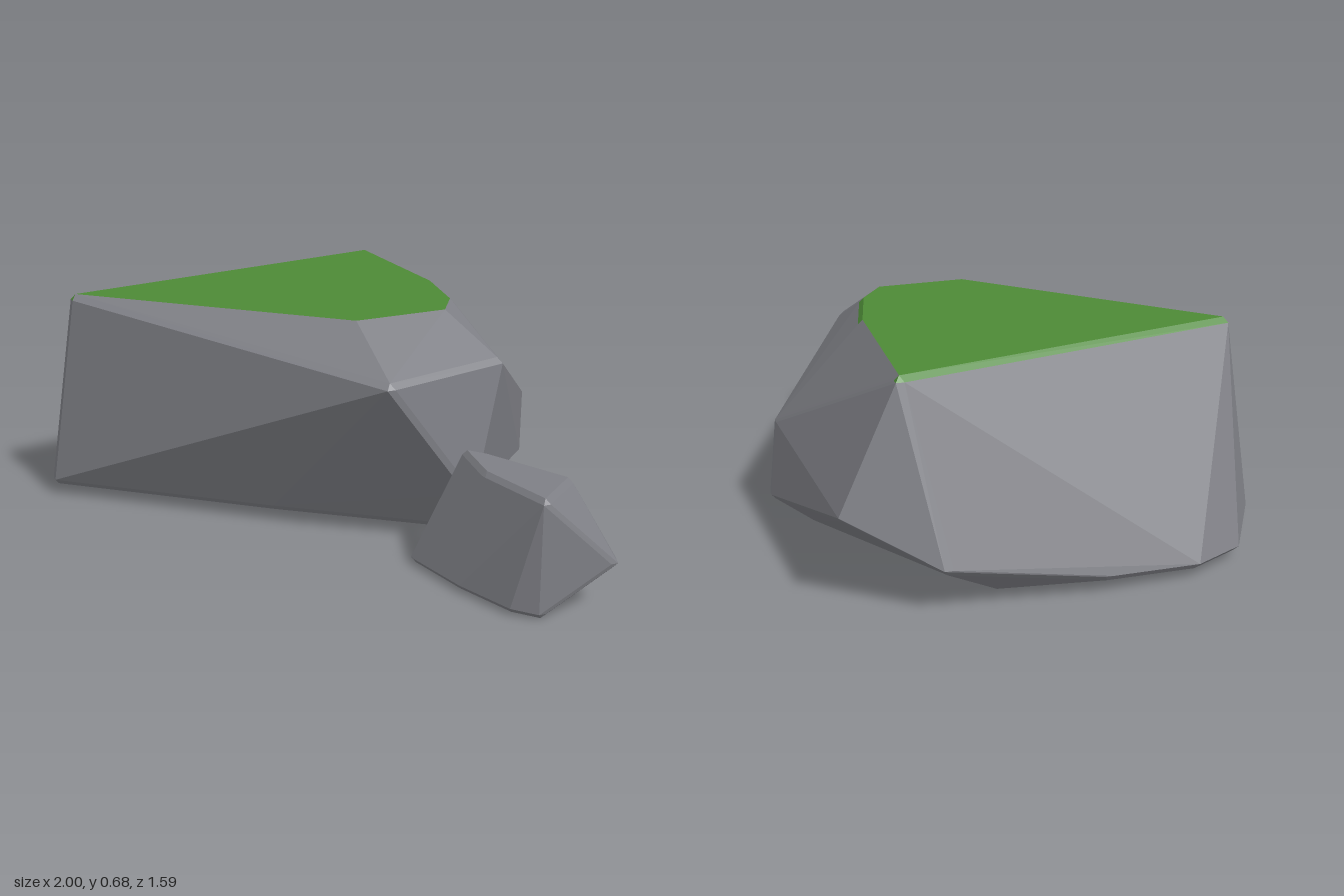
import * as THREE from 'three';
import { ConvexGeometry } from 'three/addons/geometries/ConvexGeometry.js';

const stone = new THREE.MeshStandardMaterial({ name: 'stone grey', color: 0x7e7f85 });
const moss = new THREE.MeshStandardMaterial({ name: 'moss green', color: 0x4d8a36 });

// Convex boulder with bevelled edges: every corner becomes a tiny octahedron
function boulder(corners, r) {
  const pts = corners.map((c) => new THREE.Vector3(...c));
  const box = new THREE.Box3().setFromPoints(pts).expandByScalar(-r);
  const hull = [];
  for (const p of pts) {
    p.clamp(box.min, box.max);
    for (const axis of ['x', 'y', 'z']) {
      for (const s of [-r, r]) {
        const q = p.clone();
        q[axis] += s;
        hull.push(q);
      }
    }
  }
  return new ConvexGeometry(hull);
}

// Keep only the triangles whose centre height passes the test
function pickFaces(geometry, test) {
  const a = geometry.attributes.position.array;
  const out = [];
  for (let i = 0; i < a.length; i += 9) {
    if (test((a[i + 1] + a[i + 4] + a[i + 7]) / 3)) out.push(...a.slice(i, i + 9));
  }
  const g = new THREE.BufferGeometry();
  g.setAttribute('position', new THREE.Float32BufferAttribute(out, 3));
  g.computeVertexNormals();
  return g;
}

function addMesh(group, name, geometry, material) {
  const mesh = new THREE.Mesh(geometry, material);
  mesh.name = name;
  group.add(mesh);
}

export function createModel() {
  const model = new THREE.Group();
  model.name = 'mossyRocks';

  // Large rock
  const large = boulder([
    // flat top
    [-0.2, 0.68, -0.63], [0.19, 0.68, -0.2], [0.33, 0.68, 0.03],
    [0.36, 0.68, 0.18], [0.16, 0.68, 0.41], [-0.8, 0.68, 0.39],
    // shoulders and sides
    [0.32, 0.53, 0.585], [0.555, 0.54, 0.22], [0.48, 0.31, -0.27],
    [0.46, 0.08, -0.34], [0.5, 0.17, 0.36], [-0.1, 0.29, -0.805], [-0.39, 0.15, -0.69],
    // base
    [-0.13, 0.05, 0.36], [0.38, 0.045, 0.3], [0.3, 0.02, 0.25], [0.3, 0.02, -0.35],
    [-0.45, 0.02, -0.5], [-0.73, 0.06, -0.33], [-0.92, 0.05, -0.11],
    [-1, 0.05, 0.07], [-0.9, 0.05, 0.4],
  ], 0.018);
  const mossLine = 0.6635;
  addMesh(model, 'largeRock', pickFaces(large, (y) => y <= mossLine), stone);
  addMesh(model, 'mossTop', pickFaces(large, (y) => y > mossLine), moss);

  // Small rock leaning against the front left corner
  const small = boulder([
    // top
    [0.82, 0.34, 0.76], [0.84, 0.34, 0.58], [0.58, 0.34, 0.47],
    [0.52, 0.33, 0.46], [0.62, 0.34, 0.61],
    // outer tip
    [1, 0.14, 0.65], [0.97, 0.14, 0.61],
    // base
    [0.38, 0.02, 0.54], [0.53, 0.02, 0.36], [0.57, 0.02, 0.67],
    [0.74, 0.02, 0.78], [0.82, 0, 0.78], [0.86, 0.01, 0.6],
  ], 0.015);
  addMesh(model, 'smallRock', small, stone);

  return model;
}
